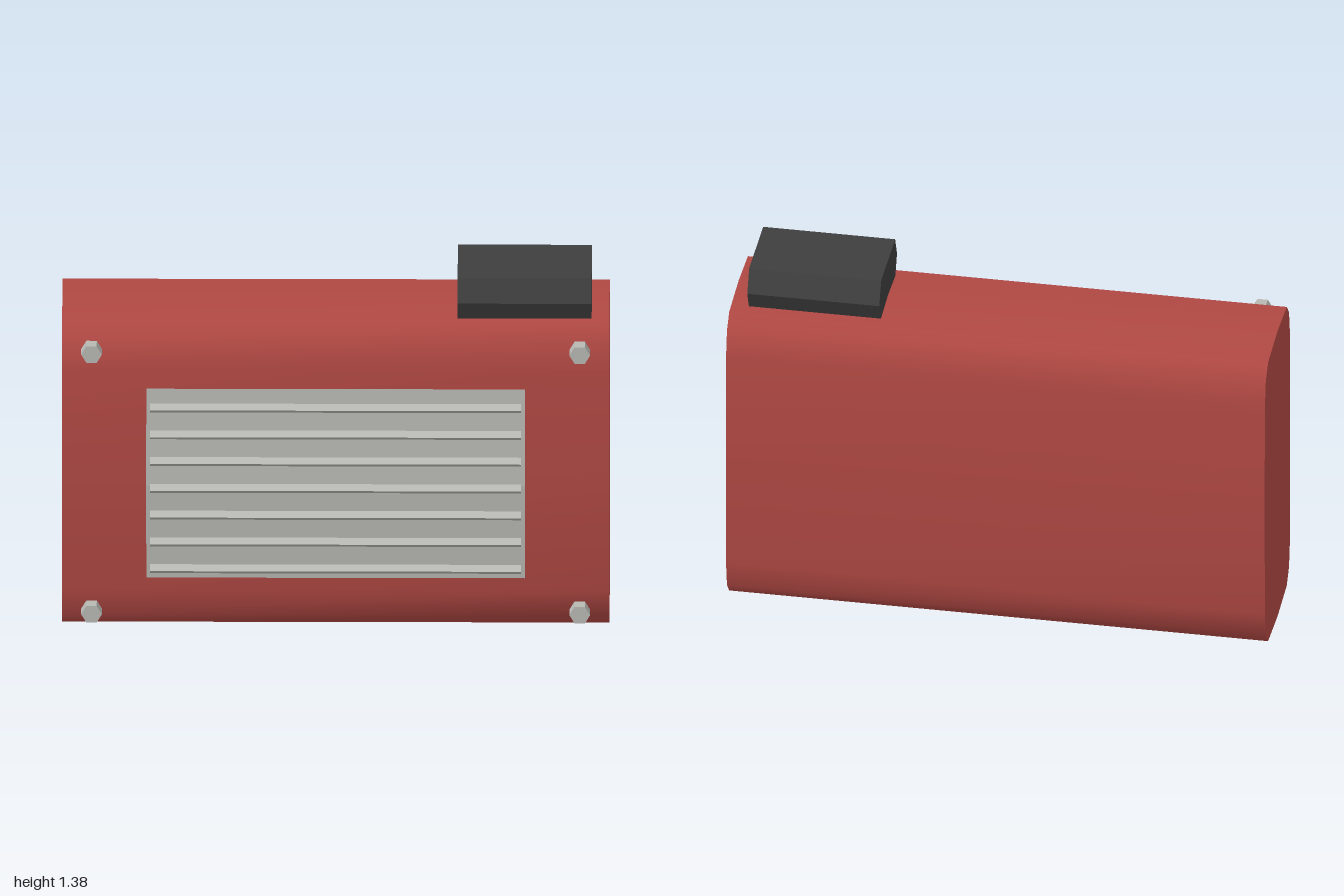
import * as THREE from 'three';
import { toCreasedNormals } from 'three/addons/utils/BufferGeometryUtils.js';

const mat = (name, color) => {
  const m = new THREE.MeshStandardMaterial({ color });
  m.name = name;
  return m;
};

// Side profile of [z, y] points, extended along x from x0 to x1
function prism(profile, x0, x1, crease = 0.1) {
  const shape = new THREE.Shape(profile.map(([z, y]) => new THREE.Vector2(-z, y)));
  const geo = new THREE.ExtrudeGeometry(shape, { depth: x1 - x0, bevelEnabled: false });
  geo.rotateY(Math.PI / 2).translate(x0, 0, 0);
  return toCreasedNormals(geo, crease);
}

const diamond = (z, y, hz, hy) => [[z + hz, y], [z, y + hy], [z - hz, y], [z, y - hy]];

export function createModel() {
  const red = mat('red paint', 0xb04843);
  const grey = mat('light grey metal', 0xb8b8b3);
  const black = mat('black rubber', 0x3e3e3e);

  const model = new THREE.Group();
  const add = (name, geo, material) => {
    const mesh = new THREE.Mesh(geo, material);
    mesh.name = name;
    model.add(mesh);
    return mesh;
  };

  // Rounded tank body: a quarter profile mirrored both ways about its centre
  const cz = -0.042, cy = 0.617;
  const quarter = [[0.267, 0], [0.262, 0.44], [0.242, 0.548], [0.195, 0.6], [0, 0.614]];
  const upper = [...quarter, ...quarter.slice(0, 4).reverse().map(([z, y]) => [-z, y])];
  const lower = upper.slice(1, -1).reverse().map(([z, y]) => [z, -y]);
  const outline = [...upper, ...lower].map(([z, y]) => [cz + z, cy + y]);
  add('body', prism(outline, -1, 1, 0.65), red);

  // Filler cap with a six-sided section
  const cap = [[0.105, 1.38], [-0.187, 1.38], [-0.226, 1.295],
    [-0.187, 1.21], [0.105, 1.21], [0.144, 1.295]];
  add('cap', prism(cap, 0.445, 0.935), black);

  // Front grille: shallow ridged plate and seven slats
  add('grillePlate', prism(diamond(0.245, 0.617, 0.021, 0.38), -0.692, 0.692), grey);
  for (let i = 0; i < 7; i++) {
    add('grilleSlat', prism(diamond(0.291, 0.294 + i * 0.1078, 0.022, 0.018), -0.678, 0.678), grey);
  }

  // Hexagonal corner bolts
  const boltGeo = new THREE.CylinderGeometry(0.038, 0.038, 0.05, 6).toNonIndexed();
  boltGeo.computeVertexNormals();
  boltGeo.rotateY(Math.PI / 2).rotateX(Math.PI / 2);
  for (const x of [-0.892, 0.892]) {
    for (const y of [0.095, 1.14]) add('bolt', boltGeo, grey).position.set(x, y, 0.234);
  }
  return model;
}
